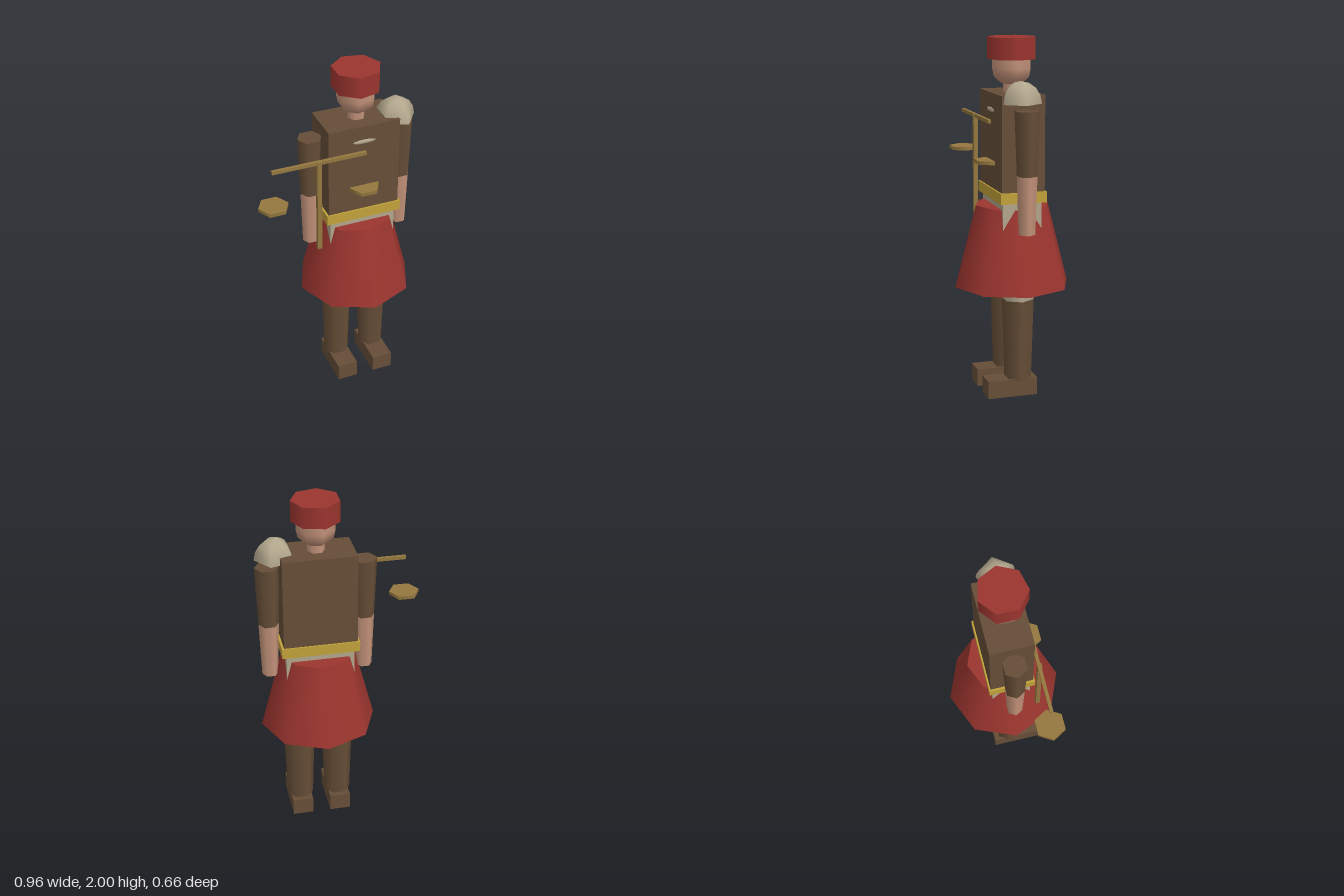
import * as THREE from 'three';

const CX = 0.137; // body axis

function mat(name, color, side = THREE.FrontSide) {
  const m = new THREE.MeshStandardMaterial({ color, side });
  m.name = name;
  return m;
}

export function createModel() {
  const group = new THREE.Group();
  const red = mat('red cloth', 0x9c352f);
  const brown = mat('brown leather', 0x664e37);
  const gold = mat('gold belt', 0xc2a23b);
  const skin = mat('skin', 0xc4937a);
  const linen = mat('pale linen', 0xb3a78d);
  const bronze = mat('bronze', 0x94773f);

  function add(name, geometry, material, x, y, z) {
    const mesh = new THREE.Mesh(geometry, material);
    mesh.name = name;
    mesh.position.set(x, y, z);
    group.add(mesh);
    return mesh;
  }
  // Box given by centre x, z and bottom/top heights
  const box = (name, material, x, y0, y1, z, w, d) =>
    add(name, new THREE.BoxGeometry(w, y1 - y0, d), material, x, (y0 + y1) / 2, z);
  // Upright prism with one corner pointing along +x
  const prism = (name, material, sides, x, z, y0, y1, r0, r1) =>
    add(name, new THREE.CylinderGeometry(r1, r0, y1 - y0, sides, 1, false, Math.PI / 2),
      material, x, (y0 + y1) / 2, z);
  // Turned shape from [radius, height] points
  const turned = (name, material, sides, x, z, points) =>
    add(name, new THREE.LatheGeometry(points.map(p => new THREE.Vector2(...p)), sides, Math.PI / 2),
      material, x, 0, z);

  // Torso, belt, hips and skirt
  box('torso', brown, CX, 1.14, 1.7, 0, 0.416, 0.244);
  box('belt', gold, CX, 1.115, 1.175, 0, 0.44, 0.262);
  box('hips', linen, CX, 0.93, 1.12, 0, 0.386, 0.22);
  prism('skirt', red, 8, CX, 0, 0.615, 1.075, 0.33, 0.21);

  // Head, neck and cap
  prism('neck', skin, 6, CX, 0, 1.68, 1.78, 0.05, 0.05);
  turned('head', skin, 7, CX, 0, [[0, 1.738], [0.06, 1.748], [0.1, 1.785], [0.109, 1.83], [0.108, 1.9]]);
  prism('cap', red, 7, CX, 0, 1.88, 2, 0.137, 0.137);

  // Arms and legs, mirrored about the body axis
  for (const s of [-1, 1]) {
    const side = s > 0 ? 'left' : 'right';
    const ax = CX + s * 0.271, lx = CX + s * 0.112;
    prism(side + 'Sleeve', brown, 6, ax, 0, 1.275, 1.625, 0.057, 0.07);
    prism(side + 'Forearm', skin, 6, ax, 0, 0.955, 1.275, 0.046, 0.057);
    prism(side + 'Thigh', linen, 6, lx, 0, 0.555, 0.95, 0.091, 0.1);
    prism(side + 'Boot', brown, 6, lx, 0, 0.09, 0.555, 0.077, 0.091);
    box(side + 'Shoe', brown, lx, 0, 0.1, 0.046, 0.12, 0.286);
  }

  // Shoulder guard over the left arm, with its closed underside
  turned('shoulderGuard', linen, 5, 0.362, 0.022,
    [[0.113, 1.66], [0.104, 1.706], [0.08, 1.745], [0.043, 1.771], [0, 1.78]]);
  const under = add('shoulderGuardBase', new THREE.CircleGeometry(0.113, 5), linen, 0.362, 1.66, 0.022);
  under.rotation.x = Math.PI / 2;

  // Chest clasp
  add('chestClasp', new THREE.SphereGeometry(1, 10, 6), linen, CX, 1.607, 0.121).scale.set(0.071, 0.013, 0.008);

  // Balance: beam, post and two pans
  box('beam', bronze, -0.128, 1.53, 1.55, 0.131, 0.545, 0.019);
  box('post', bronze, -0.132, 0.98, 1.548, 0.134, 0.026, 0.024);
  for (const x of [-0.395, CX]) prism('pan', bronze, 6, x, 0.13, 1.31, 1.33, 0.087, 0.087);

  return group;
}
